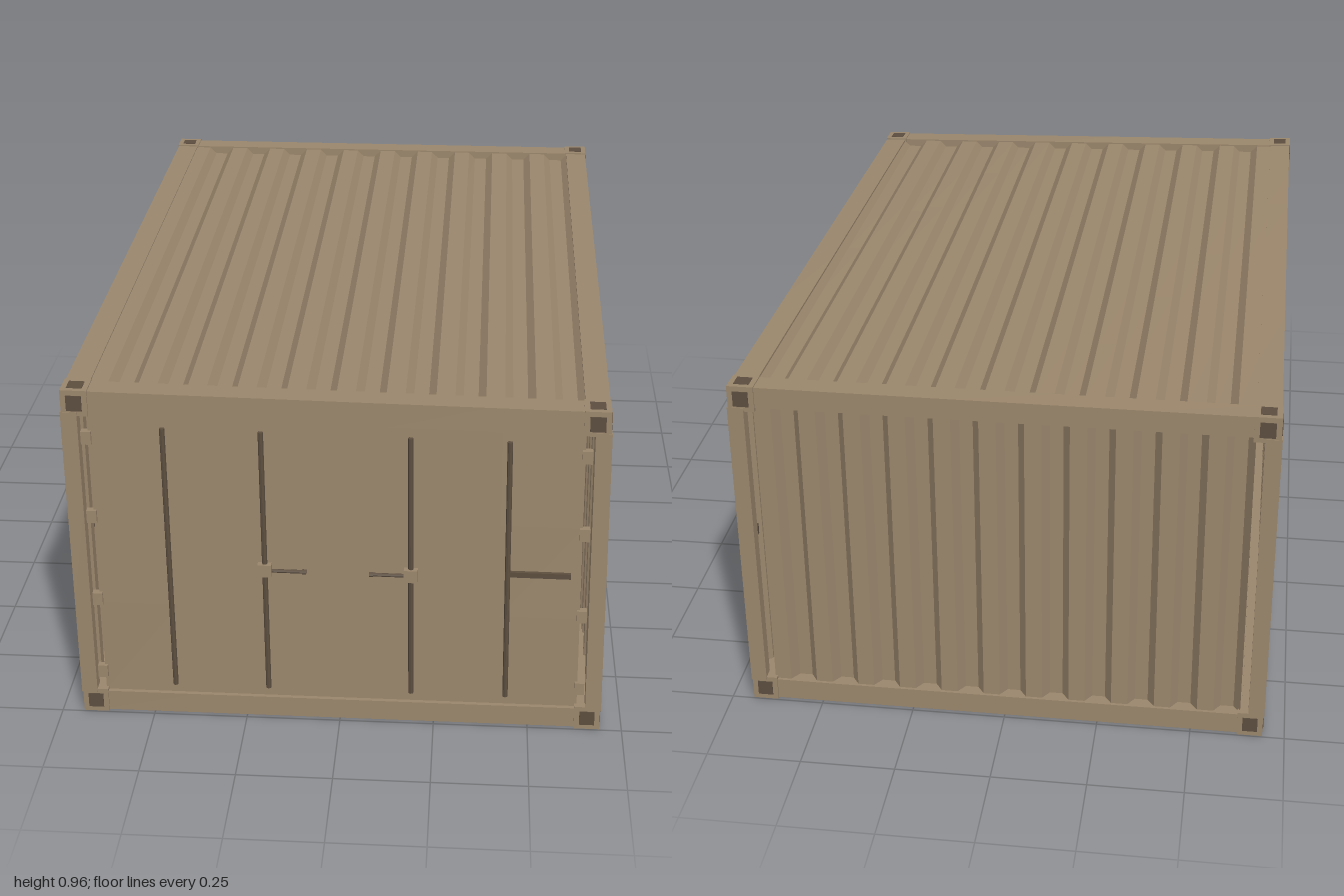
import * as THREE from 'three';

const X = 0.695, H = 0.96;

// Pushes the front left top corner inward, fading out to the opposite edges
function dent(geometry) {
  const g = geometry.index ? geometry.toNonIndexed() : geometry;
  const p = g.attributes.position;
  for (let i = 0; i < p.count; i++) {
    const x = p.getX(i), y = p.getY(i), z = p.getZ(i);
    const w = Math.max(0, (x + X) / (2 * X)) * Math.max(0, y / H) * Math.max(0, (z + 1) / 2);
    p.setXYZ(i, x - 0.018 * w, y - 0.03 * w, z - 0.022 * w);
  }
  g.computeVertexNormals();
  return g;
}

// Box given by its min and max corners
function box(x0, x1, y0, y1, z0, z1) {
  const seg = (d) => Math.max(1, Math.ceil(d / 0.3));
  const g = new THREE.BoxGeometry(x1 - x0, y1 - y0, z1 - z0, seg(x1 - x0), seg(y1 - y0), seg(z1 - z0));
  return g.translate((x0 + x1) / 2, (y0 + y1) / 2, (z0 + z1) / 2);
}

// Trapezoid sheet facing +z: width along x, ridges at z = 0, valleys at -depth
function corrugated(width, height, n, depth) {
  const g = new THREE.PlaneGeometry(width, height, n * 4, 6);
  const p = g.attributes.position, step = width / n;
  const offset = [0, 0.38, 0.54, 0.84], level = [0, 0, -depth, -depth];
  for (let i = 0; i < p.count; i++) {
    const c = i % (n * 4 + 1);
    p.setX(i, -width / 2 + step * (Math.floor(c / 4) + offset[c % 4]));
    p.setZ(i, level[c % 4]);
  }
  return g;
}

export function createModel() {
  const model = new THREE.Group();
  model.name = 'shippingContainer';
  const paint = new THREE.MeshStandardMaterial({ color: 0x9a866c });
  paint.name = 'tanPaint';
  const sheet = new THREE.MeshStandardMaterial({ color: 0x9a866c, side: THREE.DoubleSide });
  sheet.name = 'tanSheet';
  const dark = new THREE.MeshStandardMaterial({ color: 0x5c4e3f });
  dark.name = 'darkBrown';

  const add = (name, geometry, material = paint) => {
    const mesh = new THREE.Mesh(dent(geometry), material);
    mesh.name = name;
    model.add(mesh);
  };

  // Corner posts and castings with dark sockets on the outer faces
  for (const sx of [-1, 1]) for (const sz of [-1, 1]) {
    const place = (g, y = 0) => g.translate(sx * 0.6575, y, sz * 0.9625);
    add('cornerPost', box(-0.021, 0.021, 0.06, 0.9, -0.017, 0.017)
      .translate(sx * 0.673, 0, sz * 0.981));
    for (const top of [0, 1]) {
      const y = top ? H - 0.035 : 0.035;
      add('cornerCasting', place(new THREE.BoxGeometry(0.068, 0.07, 0.068), y));
      add('castingSocketEnd', place(new THREE.BoxGeometry(0.04, 0.042, 0.003), y).translate(0, 0, sz * 0.0345), dark);
      add('castingSocketSide', place(new THREE.BoxGeometry(0.003, 0.042, 0.04), y).translate(sx * 0.0345, 0, 0), dark);
      add('castingSocketCap', place(new THREE.BoxGeometry(0.04, 0.002, 0.04), top ? H : 0.001), dark);
    }
  }

  // Long sides, the second one turned half way round
  for (const angle of [0, Math.PI]) {
    const side = (name, g, m) => add(name, g.rotateY(angle), m);
    side('sideTopRail', box(0.627, 0.69, 0.9, 0.956, -0.94, 0.94));
    side('sideBottomRail', box(0.635, 0.69, 0.004, 0.062, -0.94, 0.94));
    side('sideWall', corrugated(1.83, 0.85, 16, 0.026).rotateY(Math.PI / 2).translate(0.686, 0.48, 0), sheet);
    side('rubbingStrip', box(0.668, 0.692, 0.474, 0.504, -0.915, 0.92), dark);
    side('placard', box(0.684, 0.689, 0.075, 0.15, -0.265, -0.18));
    side('railSeam', box(0.688, 0.692, 0.048, 0.052, -0.45, 0.29), dark);
    for (const z of [-0.378, 0.382])
      side('forkPocket', box(0.685, 0.694, 0.02, 0.055, z - 0.073, z + 0.073));
  }

  // End frames
  add('frontHeader', box(-0.64, 0.64, 0.89, 0.957, 0.93, 0.992));
  add('frontSill', box(-0.64, 0.64, 0.003, 0.062, 0.93, 0.992));
  add('backHeader', box(-0.64, 0.64, 0.9, 0.957, -0.992, -0.93));
  add('backSill', box(-0.64, 0.64, 0.003, 0.062, -0.992, -0.93));

  // Back wall and roof sheets
  add('backWall', corrugated(1.26, 0.85, 11, 0.026).rotateY(Math.PI).translate(0, 0.48, -0.984), sheet);
  add('roof', corrugated(1.26, 1.87, 10, 0.02).rotateX(-Math.PI / 2).translate(0, 0.953, 0), sheet);

  // Floor and cross members
  add('floor', box(-0.64, 0.64, 0.016, 0.05, -0.94, 0.94));
  for (const z of [-0.56, -0.19, 0.19, 0.56])
    add('crossMember', box(-0.615, 0.615, 0.008, 0.018, z - 0.016, z + 0.016), dark);

  // Doors with hinges, locking rods and handles
  for (const s of [-1, 1]) {
    add('door', box(-0.315, 0.315, 0.06, 0.892, 0.966, 0.981).translate(s * 0.315, 0, 0));
    for (const y of [0.123, 0.35, 0.598, 0.825])
      add('hinge', box(-0.013, 0.013, y - 0.018, y + 0.018, 0.972, 0.99).translate(s * 0.635, 0, 0));
    for (const x of [0.19, 0.44])
      add('lockingRod', new THREE.CylinderGeometry(0.007, 0.007, 0.77, 8, 4)
        .translate(s * x, 0.475, 0.986), dark);
    add('handleBlock', box(-0.018, 0.018, 0.441, 0.477, 0.98, 0.998).translate(s * 0.19, 0, 0));
    add('handle', new THREE.CylinderGeometry(0.005, 0.005, 0.09, 8)
      .rotateZ(Math.PI / 2).translate(s * 0.13, 0.458, 0.99), dark);
    add('handleKnob', new THREE.CylinderGeometry(0.007, 0.007, 0.01, 8)
      .rotateZ(Math.PI / 2).translate(s * 0.087, 0.458, 0.99), dark);
  }
  add('doorBar', box(0.445, 0.603, 0.465, 0.48, 0.98, 0.99), dark);

  return model;
}
